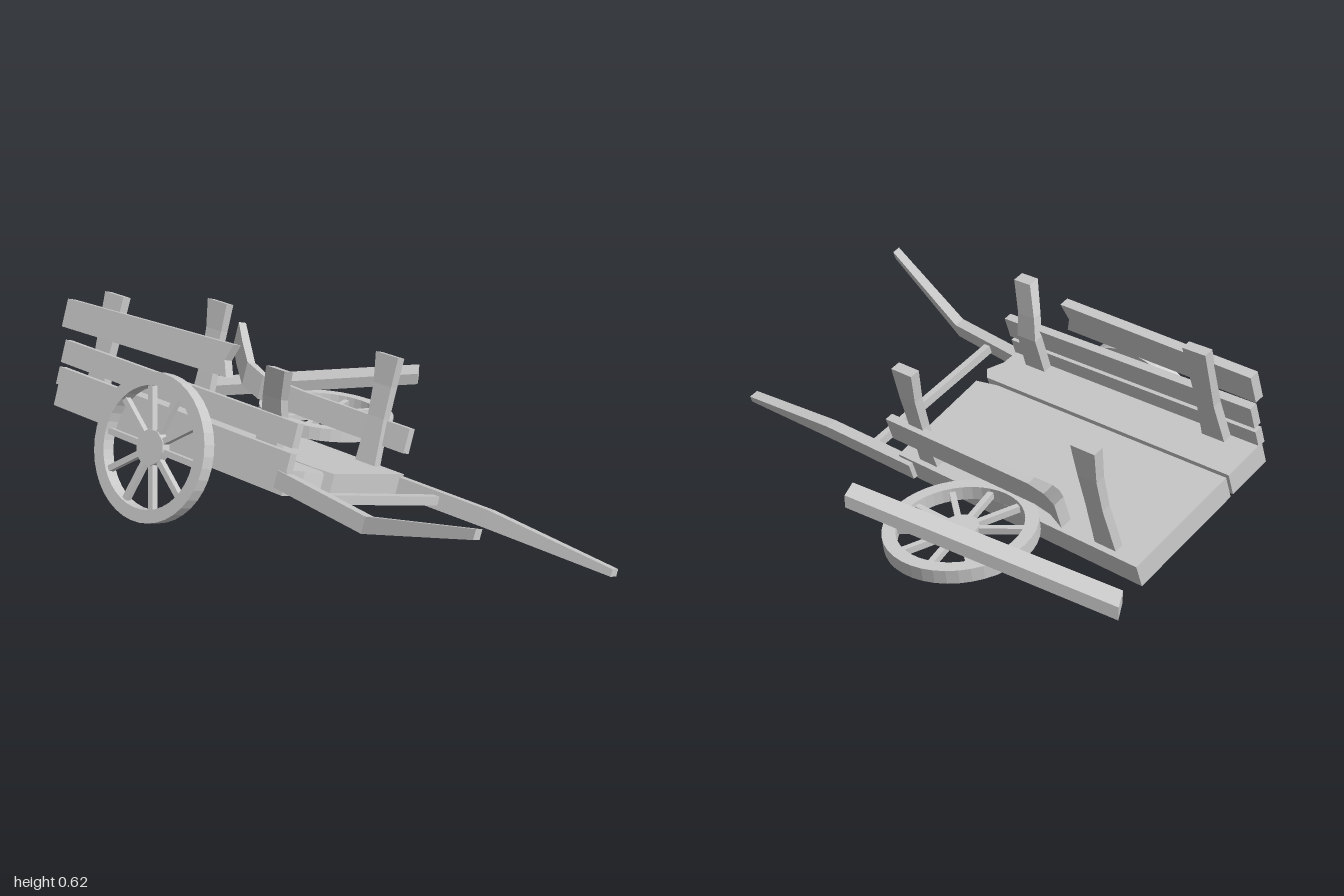
import * as THREE from 'three';

const material = new THREE.MeshStandardMaterial({ color: 0xcccccc, flatShading: true });
const X = new THREE.Vector3(1, 0, 0), Y = new THREE.Vector3(0, 1, 0), Z = new THREE.Vector3(0, 0, 1);
const TILT = -0.375;

function add(parent, name, geometry, x = 0, y = 0, z = 0) {
  const mesh = new THREE.Mesh(geometry, material);
  mesh.name = name;
  mesh.position.set(x, y, z);
  parent.add(mesh);
  return mesh;
}

// Rectangular timber through sections [x, y, z, sizeA, sizeB]; a cross b points along the timber
function timber(sections, a, b) {
  const rings = sections.map(([x, y, z, sa, sb]) =>
    [[-1, -1], [1, -1], [1, 1], [-1, 1]].map(([i, j]) => new THREE.Vector3(x, y, z)
      .addScaledVector(a, i * sa / 2).addScaledVector(b, j * sb / 2)));
  const points = [];
  const quad = (p, q, r, s) => points.push(p, q, r, p, r, s);
  for (let k = 0; k + 1 < rings.length; k++) {
    for (let i = 0; i < 4; i++) {
      const j = (i + 1) % 4;
      quad(rings[k][i], rings[k][j], rings[k + 1][j], rings[k + 1][i]);
    }
  }
  const first = rings[0], last = rings[rings.length - 1];
  quad(first[3], first[2], first[1], first[0]);
  quad(...last);
  const geometry = new THREE.BufferGeometry().setFromPoints(points);
  geometry.computeVertexNormals();
  return geometry;
}

function extrude(outline, depth) {
  const shape = new THREE.Shape(outline.map(([x, y]) => new THREE.Vector2(x, y)));
  return new THREE.ExtrudeGeometry(shape, { depth, bevelEnabled: false });
}

// Spoked wheel with its axle along y
function makeWheel(name) {
  const wheel = new THREE.Group();
  wheel.name = name;
  const ring = new THREE.Shape().absarc(0, 0, 0.243, 0, Math.PI * 2);
  ring.holes.push(new THREE.Path().absarc(0, 0, 0.2, 0, Math.PI * 2, true));
  const rim = new THREE.ExtrudeGeometry(ring, { depth: 0.046, bevelEnabled: false, curveSegments: 20 });
  add(wheel, 'rim', rim.translate(0, 0, -0.023).rotateX(-Math.PI / 2));
  add(wheel, 'hub', new THREE.CylinderGeometry(0.06, 0.06, 0.032, 10));
  for (let i = 0; i < 10; i++) {
    const spoke = new THREE.BoxGeometry(0.16, 0.022, 0.02).translate(0.13, 0, 0);
    add(wheel, 'spoke', spoke.rotateY((i + 0.5) * Math.PI / 5));
  }
  return wheel;
}

export function createModel() {
  const model = new THREE.Group();
  model.name = 'brokenHandcart';

  // Tilted body: local origin at the low bottom corner of the bed
  const body = new THREE.Group();
  body.name = 'body';
  body.position.set(0.082, 0.004, 0);
  body.rotation.z = TILT;
  model.add(body);

  // Bed planks, outlined as (x, -z), with uneven front ends
  const planks = {
    narrowBedPlank: [[-0.61, -0.165], [-0.53, -0.168], [-0.475, -0.2], [-0.44, -0.165], [-0.442, 0.89], [-0.61, 0.89]],
    wideBedPlank: [[-0.41, -0.19], [0, -0.165], [0, 0.89], [-0.43, 0.89], [-0.426, -0.1]],
  };
  for (const [name, outline] of Object.entries(planks)) {
    add(body, name, extrude(outline, 0.08).rotateX(-Math.PI / 2));
  }

  // Upright fence boards on the high side
  add(body, 'lowerFenceBoard', new THREE.BoxGeometry(0.03, 0.06, 1.06), -0.607, 0.105, -0.36);
  add(body, 'middleFenceBoard', new THREE.BoxGeometry(0.03, 0.078, 1.06), -0.607, 0.19, -0.36);
  // Top board, outlined as (-z, y), with a splintered front end
  const top = extrude([[0.15, 0.29], [0.92, 0.268], [0.92, 0.365], [0.15, 0.395], [0.172, 0.34]], 0.035);
  add(body, 'topFenceBoard', top.rotateY(Math.PI / 2), -0.625, 0, 0);

  // Fence posts, flared at the ends; the high front one is snapped outward
  const posts = {
    highRearPost: [[-0.573, 0.07, -0.74, 0.09, 0.034], [-0.573, 0.22, -0.74, 0.07, 0.034], [-0.578, 0.425, -0.74, 0.09, 0.034]],
    highFrontPost: [[-0.573, 0.07, 0.04, 0.09, 0.034], [-0.575, 0.21, 0.04, 0.085, 0.034],
      [-0.61, 0.28, 0.05, 0.075, 0.034], [-0.665, 0.375, 0.085, 0.075, 0.04]],
  };
  for (const [name, z] of [['lowRearPost', -0.75], ['lowFrontPost', 0.035]]) {
    posts[name] = [[-0.035, 0.07, z, 0.085, 0.032], [-0.038, 0.24, z, 0.068, 0.032],
      [-0.045, 0.35, z, 0.075, 0.034], [-0.06, 0.452, z, 0.095, 0.036]];
  }
  for (const [name, sections] of Object.entries(posts)) add(body, name, timber(sections, Z, X));

  // Warped board on the low side
  const across = X.clone().applyAxisAngle(Z, TILT), up = Y.clone().applyAxisAngle(Z, TILT);
  add(model, 'bentFenceBoard', timber([
    [0.305, 0.282, -0.77, 0.04, 0.09], [0.24, 0.25, -0.69, 0.045, 0.09], [0.172, 0.213, -0.6, 0.042, 0.085],
    [0.142, 0.197, -0.5, 0.032, 0.085], [0.136, 0.192, -0.3, 0.03, 0.085], [0.136, 0.19, 0.165, 0.03, 0.085],
  ], across, up));

  // Pull handles and the crossbar between them
  add(model, 'lowHandle', timber([
    [0.094, 0.042, 0.1, 0.04, 0.06], [0.094, 0.042, 0.53, 0.04, 0.058], [0.09, 0.02, 1, 0.036, 0.024],
  ], across, up));
  add(model, 'highHandle', timber([
    [-0.455, 0.262, 0.13, 0.04, 0.055], [-0.517, 0.265, 0.53, 0.04, 0.052], [-0.6, 0.425, 0.98, 0.032, 0.03],
  ], across, up));
  add(body, 'crossbar', new THREE.BoxGeometry(0.6, 0.03, 0.026), -0.295, 0.04, 0.325);

  // Loose plank leaning on the fallen wheel
  add(model, 'loosePlank', timber([
    [0.252, 0.036, -0.957, 0.098, 0.042], [0.582, 0.204, -0.148, 0.09, 0.04],
  ], new THREE.Vector3(0.82, 0, -0.57), Y));

  // Mounted wheel on the high side, fallen wheel on the low side
  const mounted = makeWheel('mountedWheel');
  mounted.position.set(-0.651, 0, -0.36);
  mounted.rotation.z = Math.PI / 2;
  body.add(mounted);
  const fallen = makeWheel('fallenWheel');
  fallen.position.set(0.317, 0.072, -0.36);
  fallen.rotation.z = -0.17;
  model.add(fallen);

  return model;
}
